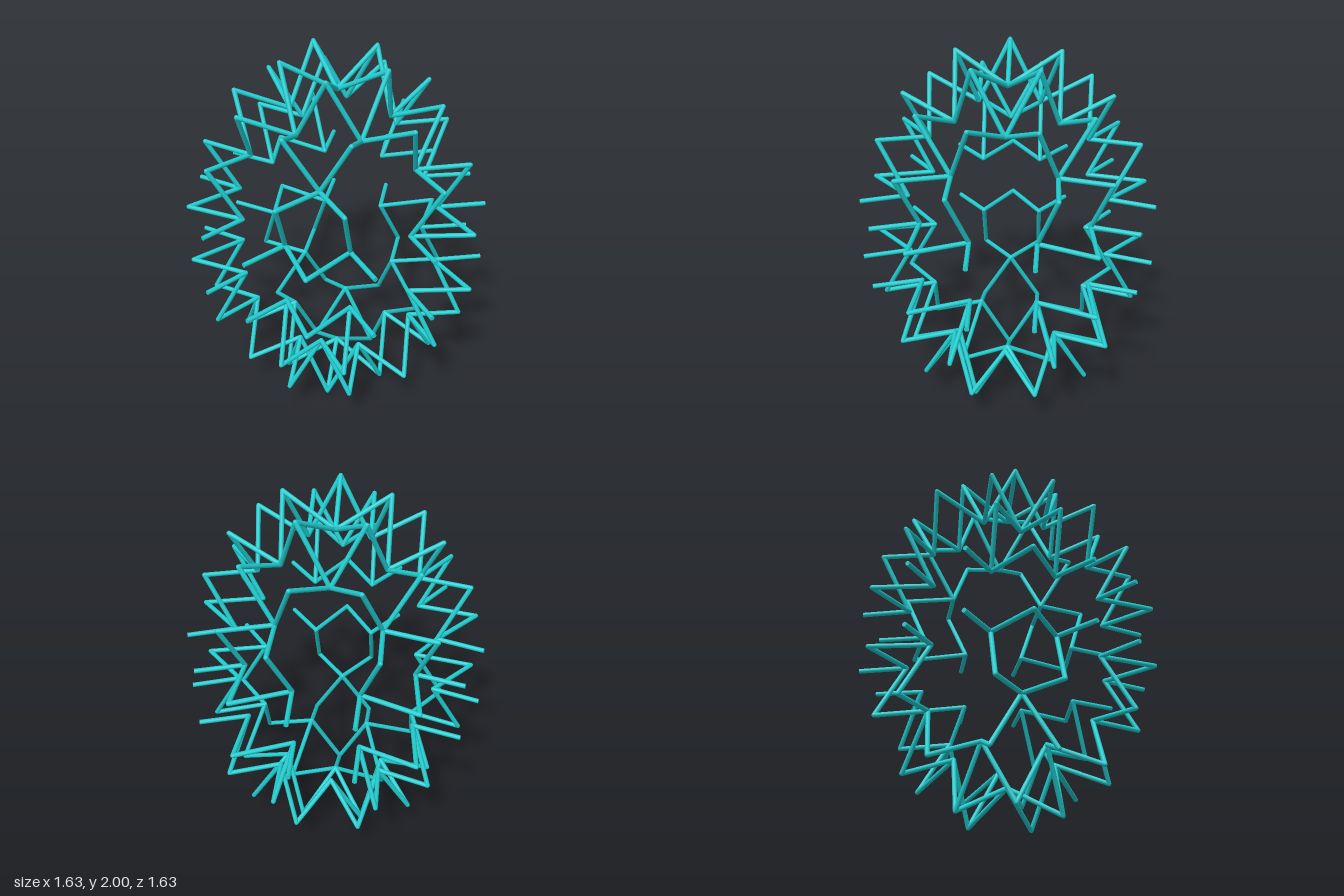
import * as THREE from 'three';

const TUBE = 0.013;
const AXIS_Z = -0.015; // position of the fivefold axis

// Joints of one sector facing +z, right-hand side: [across, up, out]
const POLE = [0, 1.825, 0];
const PEAK = [0, 1.987, 0.295];
const DIP = [0.17, 1.655, 0.236];
const SHOULDER = [0.17, 1.775, 0.53];
const NOTCH = [0, 1.472, 0.465];
const ELBOW = [0.17, 1.48, 0.702];
const RIM = [0.17, 1.174, 0.53];
const POINT = [0, 1.174, 0.815];
const TIP = [0.332, 1.174, 0.745];

// Paired struts, repeated on both sides of each sector
const PAIRS = [
  ['crownStrut', PEAK, DIP],
  ['shoulderStrut', DIP, SHOULDER],
  ['notchStrut', SHOULDER, NOTCH],
  ['elbowStrut', NOTCH, ELBOW],
  ['rimStrut', ELBOW, RIM],
  ['pointStrut', RIM, POINT],
  ['openSpoke', RIM, TIP],
];

export function createModel() {
  const model = new THREE.Group();
  model.name = 'starCage';
  const material = new THREE.MeshStandardMaterial({ color: 0x20cdd0 });
  const rod = new THREE.CylinderGeometry(TUBE, TUBE, 1, 12);
  const ball = new THREE.SphereGeometry(TUBE, 12, 8);
  const up = new THREE.Vector3(0, 1, 0);

  // Mirror, turn and flip a sector joint into place
  const place = ([x, y, z], side, sector, half) =>
    new THREE.Vector3(x * side, half > 0 ? y : 2 - y, z)
      .applyAxisAngle(up, sector * Math.PI * 2 / 5)
      .add(new THREE.Vector3(0, 0, AXIS_Z));

  function addStrut(parent, name, a, b) {
    const mesh = new THREE.Mesh(rod, material);
    mesh.name = name;
    mesh.position.copy(a).add(b).multiplyScalar(0.5);
    mesh.scale.y = a.distanceTo(b);
    mesh.quaternion.setFromUnitVectors(up, b.clone().sub(a).normalize());
    parent.add(mesh);
  }

  function addJoint(parent, position) {
    const mesh = new THREE.Mesh(ball, material);
    mesh.name = 'joint';
    mesh.position.copy(position);
    parent.add(mesh);
  }

  for (const half of [1, -1]) {
    const dome = new THREE.Group();
    dome.name = half > 0 ? 'upperDome' : 'lowerDome';
    model.add(dome);
    addJoint(dome, place(POLE, 1, 0, half));

    for (let s = 0; s < 5; s++) {
      // Ray from the pole to the crown peak
      addStrut(dome, 'poleStrut', place(POLE, 1, s, half), place(PEAK, 1, s, half));
      for (const joint of [PEAK, NOTCH, POINT]) addJoint(dome, place(joint, 1, s, half));
      addJoint(dome, place(DIP, 1, s, half)); // shared by neighbouring sectors

      for (const side of [1, -1]) {
        for (const [name, a, b] of PAIRS) {
          addStrut(dome, name, place(a, side, s, half), place(b, side, s, half));
        }
        for (const joint of [SHOULDER, ELBOW, RIM]) addJoint(dome, place(joint, side, s, half));
      }
    }
  }
  return model;
}
